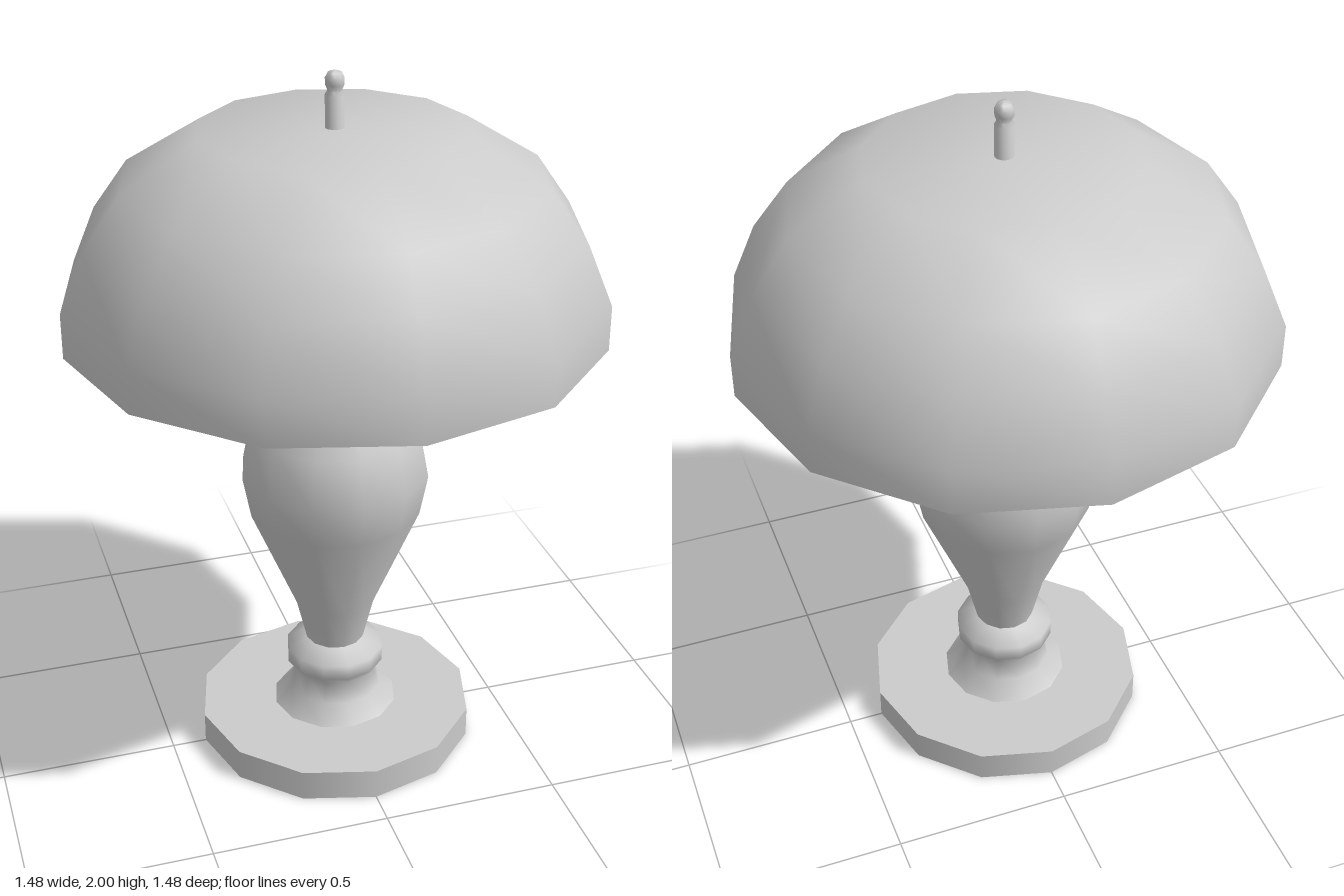
import * as THREE from 'three';
import { toCreasedNormals } from 'three/addons/utils/BufferGeometryUtils.js';

const material = new THREE.MeshStandardMaterial({ color: 0xcccccc });

// Turned part from [radius, height] pairs, listed from bottom to top
function turned(name, profile, sides = 12) {
  const points = profile.map(([r, y]) => new THREE.Vector2(r, y));
  const geometry = toCreasedNormals(new THREE.LatheGeometry(points, sides), 1.2);
  const mesh = new THREE.Mesh(geometry, material);
  mesh.name = name;
  return mesh;
}

export function createModel() {
  const lamp = new THREE.Group();
  lamp.name = 'tableLamp';

  // Flat base disc
  const base = new THREE.Mesh(new THREE.CylinderGeometry(0.402, 0.402, 0.09, 12), material);
  base.name = 'base';
  base.position.y = 0.045;
  lamp.add(base);

  // Turned column: foot, vase-shaped body, collar and neck
  lamp.add(turned('column', [
    [0.182, 0.09], [0.135, 0.14], [0.115, 0.2], [0.143, 0.23], [0.143, 0.275], [0.085, 0.305],
    [0.115, 0.43], [0.245, 0.74], [0.268, 0.86], [0.24, 1.0], [0.14, 1.127],
    [0.2, 1.157], [0.2, 1.187], [0.13, 1.235], [0.075, 1.3],
    [0.042, 1.365], [0.058, 1.385], [0.058, 1.415], [0.026, 1.44],
  ]));

  // Rod carrying the shade, ending in a finial
  lamp.add(turned('rod', [
    [0.026, 1.42], [0.026, 1.935], [0.019, 1.947], [0.025, 1.962],
    [0.026, 1.978], [0.018, 1.994], [0, 2.0],
  ]));

  // Shade: conical hollow from the crown down, rim, domed outside back up
  lamp.add(turned('shade', [
    [0, 1.82], [0.69, 1.296], [0.738, 1.296],
    [0.738, 1.42], [0.67, 1.58], [0.57, 1.72], [0.365, 1.847], [0, 1.85],
  ]));

  return lamp;
}
